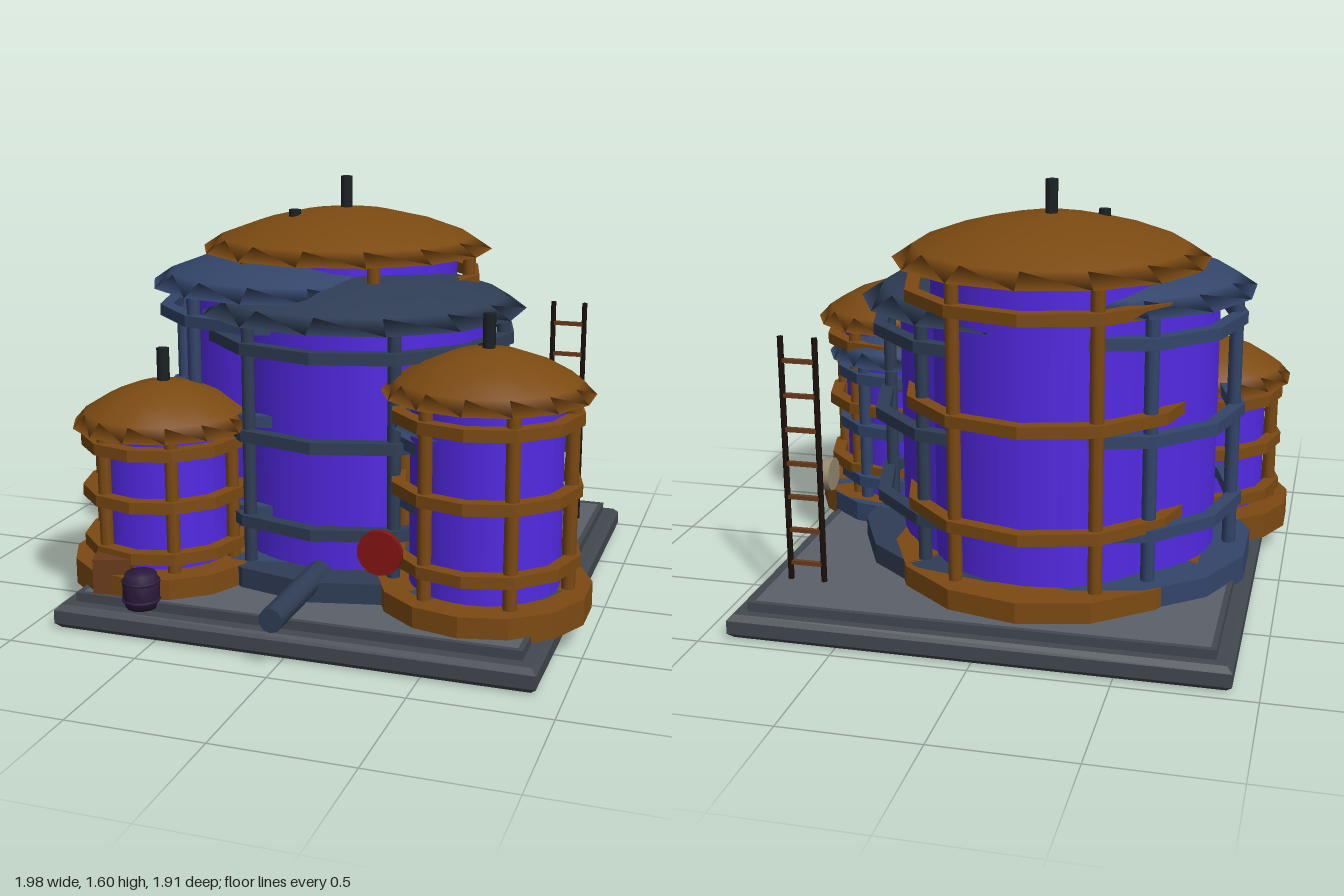
import * as THREE from 'three';

const mat = (color, extra = {}) => new THREE.MeshStandardMaterial({ color, ...extra });
const orange = mat(0x7c4a12), blue = mat(0x2f3d55), paleBlue = mat(0x33456a);
const purple = mat(0x5229e2), dark = mat(0x1c2226), slabGrey = mat(0x434850), deckGrey = mat(0x5b606a);
const wood = mat(0x6a3a1c), railBrown = mat(0x1c100a), red = mat(0x861414), cream = mat(0x968b70), plum = mat(0x2c1a3c);

function add(parent, name, geometry, material, x = 0, y = 0, z = 0) {
  const mesh = new THREE.Mesh(geometry, material);
  mesh.name = name;
  mesh.position.set(x, y, z);
  parent.add(mesh);
  return mesh;
}

const lathe = (points, sides) =>
  new THREE.LatheGeometry(points.map(([r, y]) => new THREE.Vector2(r, y)), sides);

// flat-sided drum, as used by plinths and hoops
function faceted(geometry) {
  const g = geometry.toNonIndexed();
  g.computeVertexNormals();
  return g;
}

const FLOOR = 0.1;

// storage tank: plinth, glowing body, six posts, three hoops, domed roof, chimney
function makeTank(name, x, z, R, rim, trim) {
  const tank = new THREE.Group();
  tank.name = name;
  tank.position.set(x, 0, z);
  const height = rim - FLOOR;
  const body = 0.85 * R - 0.05;

  add(tank, 'plinth', faceted(new THREE.CylinderGeometry(R + 0.01, R + 0.01, 0.1, 14)), trim, 0, FLOOR + 0.05, 0);
  add(tank, 'body', new THREE.CylinderGeometry(body, body, height, 32), purple, 0, FLOOR + height / 2, 0);

  for (let i = 0; i < 6; i++) {
    const a = i * Math.PI / 3, r = R - 0.075;
    add(tank, 'post', new THREE.CylinderGeometry(0.026, 0.026, height, 8), trim,
      r * Math.cos(a), FLOOR + height / 2, r * Math.sin(a));
  }

  const inner = R - 0.085, outer = R - 0.033, h = 0.022;
  const band = faceted(lathe([[inner, -h], [outer, -h], [outer, h], [inner, h], [inner, -h]], 12));
  for (const t of [0.26, 0.585, 0.91]) add(tank, 'hoop', band, trim, 0, FLOOR + t * height, 0);

  add(tank, 'roof', lathe([
    [0, 0], [R, 0], [0.87 * R, 0.05], [0.6 * R, 0.107], [0.3 * R, 0.147], [0, 0.163],
  ], 14), trim, 0, rim, 0);
  add(tank, 'chimney', new THREE.CylinderGeometry(0.024, 0.024, 0.18, 6), dark, 0, rim + 0.195, 0);
  return tank;
}

function makeBase() {
  const base = new THREE.Group();
  base.name = 'base';
  // bevelled slab
  const s = 0.885, shape = new THREE.Shape();
  shape.moveTo(-s, -s).lineTo(s, -s).lineTo(s, s).lineTo(-s, s).closePath();
  const slab = new THREE.ExtrudeGeometry(shape, {
    depth: 0.05, bevelThickness: 0.02, bevelSize: 0.02, bevelSegments: 1,
  });
  slab.rotateX(-Math.PI / 2);
  add(base, 'slab', slab, slabGrey, 0, 0.02, -0.055);
  // deck with a raised edge strip
  add(base, 'deck', new THREE.BoxGeometry(1.66, 0.035, 1.66), deckGrey, 0, 0.105, -0.06);
  for (const side of [-1, 1]) {
    add(base, 'edgeStrip', new THREE.BoxGeometry(1.69, 0.036, 0.02), slabGrey, 0, 0.107, -0.06 + side * 0.835);
    add(base, 'edgeStrip', new THREE.BoxGeometry(0.02, 0.036, 1.69), slabGrey, side * 0.835, 0.107, -0.06);
  }
  return base;
}

function makeLadder() {
  const ladder = new THREE.Group();
  ladder.name = 'ladder';
  for (const side of [-1, 1])
    add(ladder, 'rail', new THREE.CylinderGeometry(0.011, 0.011, 0.94, 6), railBrown, side * 0.065, 0.47, 0);
  for (let i = 0; i < 7; i++)
    add(ladder, 'rung', new THREE.BoxGeometry(0.13, 0.016, 0.016), wood, 0, 0.07 + i * 0.13, 0);
  ladder.position.set(0.705, 0.12, -0.665);
  return ladder;
}

function makeBarrel() {
  const barrel = new THREE.Group();
  barrel.name = 'barrel';
  add(barrel, 'staves', lathe([[0, 0], [0.058, 0], [0.068, 0.04], [0.068, 0.09], [0.058, 0.13], [0, 0.13]], 12), plum);
  for (const y of [0.03, 0.1]) {
    const hoop = add(barrel, 'barrelHoop', new THREE.TorusGeometry(0.066, 0.006, 6, 16), plum, 0, y, 0);
    hoop.rotation.x = Math.PI / 2;
  }
  barrel.position.set(-0.575, 0.105, 0.785);
  return barrel;
}

export function createModel() {
  const model = new THREE.Group();
  model.name = 'tankFarm';
  model.add(makeBase());

  // large cluster
  model.add(makeTank('tallTank', -0.135, -0.26, 0.585, 1.31, orange));
  model.add(makeTank('wideTank', 0, -0.05, 0.64, 1.115, blue));
  model.add(makeTank('leftInnerTank', -0.305, -0.12, 0.575, 1.185, paleBlue));
  // small tanks
  model.add(makeTank('smallTankRight', -0.64, 0.415, 0.35, 0.71, orange));
  model.add(makeTank('smallTankLeft', 0.605, 0.35, 0.385, 0.905, orange));
  model.add(makeTank('smallInnerTank', 0.57, 0.27, 0.35, 0.775, paleBlue));

  // outlet pipe and valve wheel at the front
  const pipe = add(model, 'outletPipe', new THREE.CylinderGeometry(0.045, 0.045, 0.5, 10), blue, 0, 0.19, 0.705);
  pipe.rotation.x = Math.PI / 2;
  const valve = add(model, 'valveWheel', new THREE.CylinderGeometry(0.083, 0.083, 0.022, 14), red, 0.3, 0.37, 0.66);
  valve.rotation.x = Math.PI / 2;

  // gauge facing sideways, with its needle
  const gauge = add(model, 'gauge', new THREE.CylinderGeometry(0.065, 0.065, 0.036, 12), cream, 0.735, 0.42, -0.325);
  gauge.rotation.z = Math.PI / 2;
  add(model, 'gaugeNeedle', new THREE.BoxGeometry(0.012, 0.055, 0.012), red, 0.758, 0.42, -0.325);

  // clutter
  const crate = add(model, 'crate', new THREE.BoxGeometry(0.14, 0.135, 0.14), wood, -0.73, 0.19, 0.69);
  crate.rotation.y = 0.3;
  model.add(makeBarrel(), makeLadder());
  return model;
}
